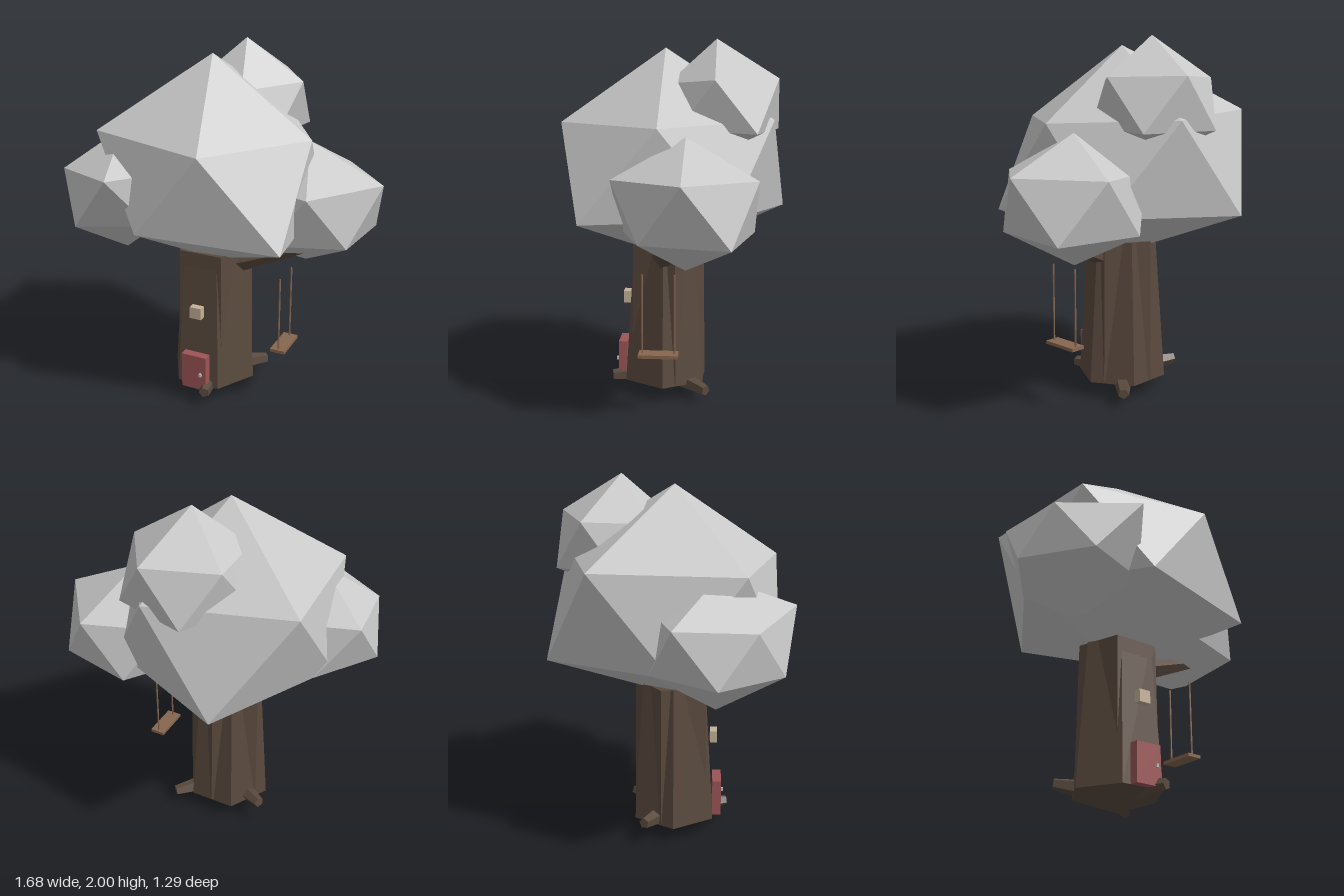
import * as THREE from 'three';

const material = (name, color) => {
  const m = new THREE.MeshStandardMaterial({ color, flatShading: true });
  m.name = name;
  return m;
};

// Faceted crown lump: a vertex-up icosahedron whose corners have their own reach
function crownGeometry({ top, bottom, upper, lower, squash = 0.39 }) {
  const pos = [0, top, 0];
  const ring = (radii, offset, sign) => radii.forEach((r, i) => {
    const a = (i * 72 + offset) * Math.PI / 180;
    pos.push(r * Math.cos(a), sign * r * squash, r * Math.sin(a));
  });
  ring(upper, 0, 1);
  ring(lower, 36, -1);
  pos.push(0, -bottom, 0);
  const index = [];
  for (let i = 0; i < 5; i++) {
    const j = (i + 1) % 5;
    const u = 1 + i, v = 1 + j, l = 6 + i, m = 6 + j;
    index.push(0, v, u, u, v, l, l, v, m, 11, l, m);
  }
  const g = new THREE.BufferGeometry();
  g.setAttribute('position', new THREE.Float32BufferAttribute(pos, 3));
  g.setIndex(index);
  const flat = g.toNonIndexed();
  flat.computeVertexNormals();
  return flat;
}

export function createModel() {
  const model = new THREE.Group();
  model.name = 'treeHouse';
  const leaf = material('leafGrey', 0xc8c8c8);
  const bark = material('bark', 0x5a4a3e);
  const doorRed = material('doorRed', 0x9c5557);
  const cream = material('windowCream', 0xc4b299);
  const wood = material('swingWood', 0x86664f);
  const metal = material('knobGrey', 0xc0b8b0);

  const add = (name, geometry, mat, x = 0, y = 0, z = 0) => {
    const mesh = new THREE.Mesh(geometry, mat);
    mesh.name = name;
    mesh.position.set(x, y, z);
    model.add(mesh);
    return mesh;
  };
  const box = (name, mat, w, h, d, x, y, z) =>
    add(name, new THREE.BoxGeometry(w, h, d), mat, x, y, z);
  // Tapered limb between two points
  const limb = (name, from, to, r0, r1, sides) => {
    const a = new THREE.Vector3(...from), b = new THREE.Vector3(...to);
    const dir = b.clone().sub(a);
    const mesh = add(name, new THREE.CylinderGeometry(r1, r0, dir.length(), sides), bark);
    mesh.position.copy(a).add(b).multiplyScalar(0.5);
    mesh.quaternion.setFromUnitVectors(new THREE.Vector3(0, 1, 0), dir.normalize());
  };

  // Crown: ring radii run from +x towards +z
  const crowns = [
    ['mainCrown', [-0.07, 1.335, 0.02], { top: 0.62, bottom: 0.535,
      upper: [0.56, 0.579, 0.616, 0.69, 0.62], lower: [0.69, 0.58, 0.6, 0.7, 0.62] }],
    ['rightCrown', [-0.5, 1.232, 0.24], { top: 0.33, bottom: 0.352,
      upper: [0.35, 0.42, 0.32, 0.37, 0.36], lower: [0.32, 0.35, 0.34, 0.35, 0.34] }],
    ['leftCrown', [0.43, 1.158, -0.12], { top: 0.352, bottom: 0.328,
      upper: [0.41, 0.386, 0.36, 0.37, 0.386], lower: [0.36, 0.36, 0.36, 0.37, 0.4] }],
    ['topCrown', [0, 1.658, -0.26], { top: 0.342, bottom: 0.3,
      upper: [0.33, 0.273, 0.29, 0.32, 0.347], lower: [0.32, 0.31, 0.32, 0.36, 0.37] }],
  ];
  for (const [name, at, shape] of crowns) add(name, crownGeometry(shape), leaf, ...at);

  // Trunk: flared six-sided body crossed with a straighter five-sided core
  const cx = -0.07, cz = 0.02;
  add('trunk', new THREE.CylinderGeometry(0.195, 0.252, 0.8, 6, 1, false, Math.PI / 6),
    bark, cx, 0.49, cz);
  add('trunkCore', new THREE.CylinderGeometry(0.214, 0.225, 0.79, 5, 1, false, Math.PI / 5),
    bark, cx, 0.495, cz);
  add('trunkBase', new THREE.CylinderGeometry(0.252, 0, 0.09, 6, 1, false, Math.PI / 6),
    bark, cx, 0.045, cz);

  // Roots and branch
  for (const end of [[0.01, 0.1, 0.32], [0.165, 0.08, -0.22], [-0.35, 0.14, -0.14]]) {
    limb('root', [cx, 0.1, cz], end, 0.07, 0.03, 5);
  }
  limb('branch', [-0.02, 0.775, 0.02], [0.55, 0.985, 0.01], 0.075, 0.02, 5);

  // Door, knob and window
  box('door', doorRed, 0.15, 0.21, 0.05, -0.072, 0.195, 0.262);
  box('doorKnob', metal, 0.013, 0.018, 0.016, -0.027, 0.19, 0.294);
  box('window', cream, 0.068, 0.068, 0.04, -0.071, 0.555, 0.24);

  // Swing
  box('swingSeat', wood, 0.085, 0.018, 0.21, 0.37, 0.355, 0.025);
  for (const z of [0.11, -0.06]) {
    add('swingRope', new THREE.CylinderGeometry(0.005, 0.005, 0.43, 6), wood, 0.37, 0.575, z);
  }
  return model;
}
